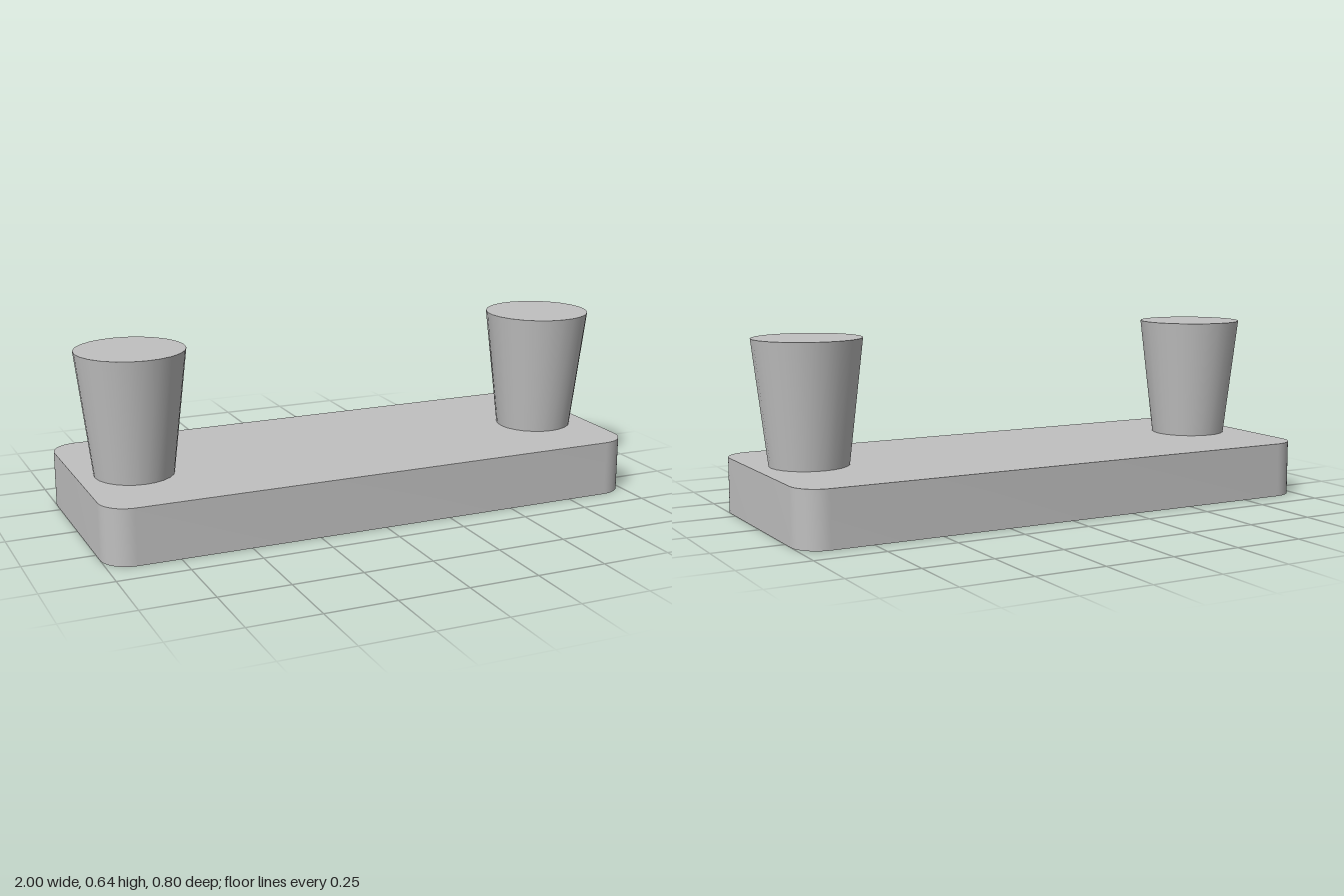
import * as THREE from 'three';
import { toCreasedNormals } from 'three/addons/utils/BufferGeometryUtils.js';

const HALF_X = 1, HALF_Z = 0.4, CORNER = 0.1, THICKNESS = 0.2;
const PEG_HEIGHT = 0.44;

// Rounded rectangle outline, centred on the origin
function roundedRect(w, h, r) {
  const s = new THREE.Shape();
  s.absarc(w - r, h - r, r, 0, Math.PI / 2);
  s.absarc(-w + r, h - r, r, Math.PI / 2, Math.PI);
  s.absarc(-w + r, -h + r, r, Math.PI, Math.PI * 1.5);
  s.absarc(w - r, -h + r, r, Math.PI * 1.5, Math.PI * 2);
  s.closePath();
  return s;
}

export function createModel() {
  const model = new THREE.Group();
  model.name = 'pegBase';
  const grey = new THREE.MeshStandardMaterial({ color: 0xc0c0c0 });
  grey.name = 'grey';

  // Flat base with rounded vertical corners
  const slab = new THREE.ExtrudeGeometry(roundedRect(HALF_X, HALF_Z, CORNER), {
    depth: THICKNESS, bevelEnabled: false, curveSegments: 8,
  });
  slab.rotateX(-Math.PI / 2);
  const base = new THREE.Mesh(toCreasedNormals(slab, Math.PI / 6), grey);
  base.name = 'base';
  model.add(base);

  // Tapered pegs, wider at the top, set slightly forward
  const pegGeometry = new THREE.CylinderGeometry(0.192, 0.14, PEG_HEIGHT, 24);
  for (const side of [1, -1]) {
    const peg = new THREE.Mesh(pegGeometry, grey);
    peg.name = side > 0 ? 'leftPeg' : 'rightPeg';
    peg.position.set(side * 0.8, THICKNESS + PEG_HEIGHT / 2, 0.04);
    model.add(peg);
  }
  return model;
}
